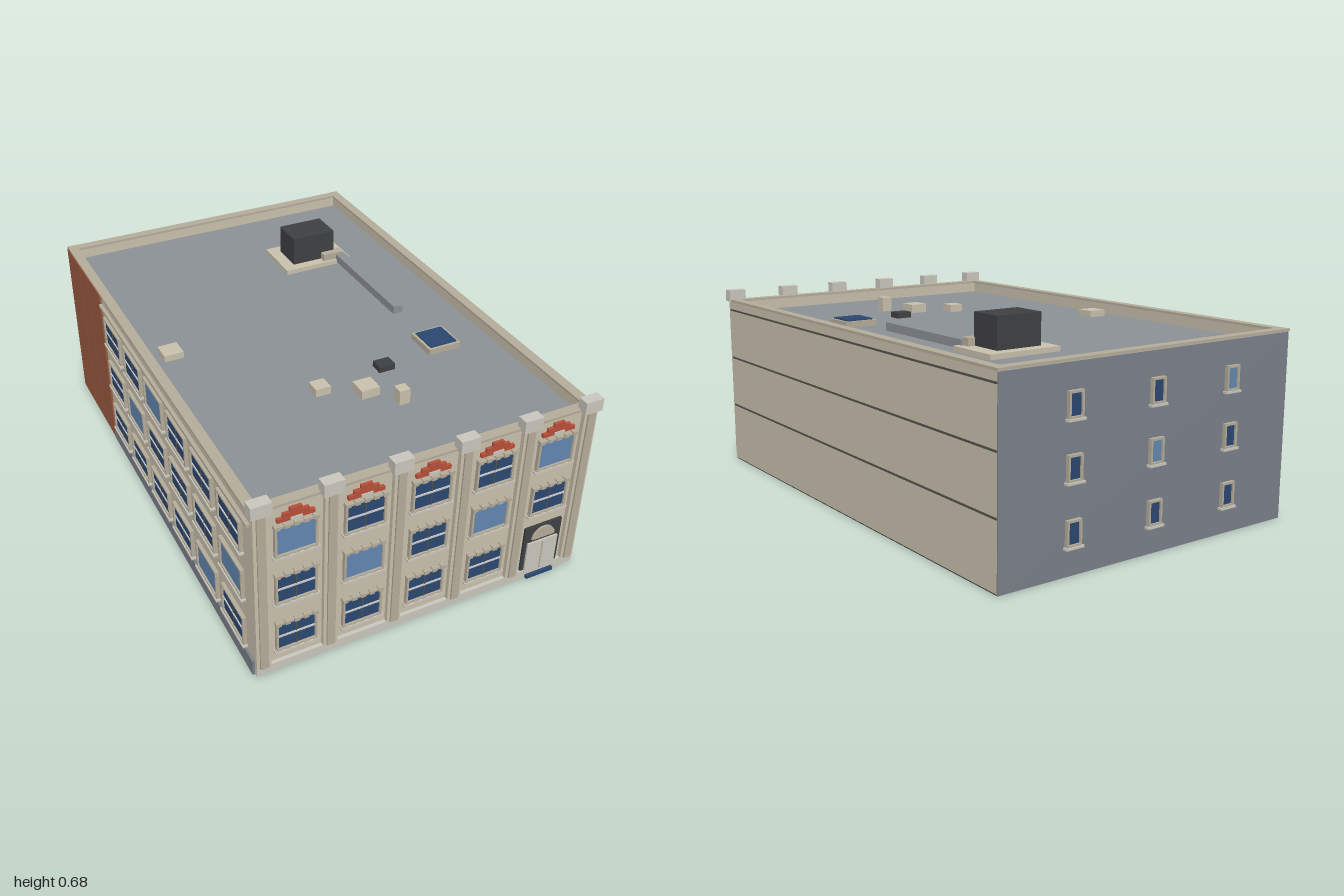
import * as THREE from 'three';

const W = 1.106, D = 1.656, H = 0.605, ROOF = 0.56;
const C = {
  wall: 0xc9c1ad, trim: 0xb5ad9b, stone: 0xcac7bd, brick: 0x9c5a40, red: 0xb8503a, grey: 0x7b818a,
  roof: 0x8c9196, dark: 0x3f4042, groove: 0x55524a, glass: 0x2b4770, lit: 0x6286b0, bar: 0xcfd0cc,
};
const mats = {};
const mat = (c) => (mats[c] ??= new THREE.MeshStandardMaterial({ color: c, flatShading: true }));

function box(parent, name, color, w, h, d, x, y, z) {
  const m = new THREE.Mesh(new THREE.BoxGeometry(w, h, d), mat(color));
  m.name = name;
  m.position.set(x, y, z);
  parent.add(m);
  return m;
}

// A wall face: local x runs along the wall, z points outward
function face(parent, name, angle, dist) {
  const g = new THREE.Group();
  g.name = name;
  g.rotation.y = angle;
  g.position.set(Math.sin(angle) * dist, 0, Math.cos(angle) * dist);
  parent.add(g);
  return g;
}

// Framed window with glass, a cross bar unless it is lit, and a sill
function addWindow(parent, x, y, w, h, lit, cross = true) {
  const g = new THREE.Group();
  g.name = 'window';
  g.position.set(x, y, 0);
  parent.add(g);
  box(g, 'glass', lit ? C.lit : C.glass, w, h, 0.006, 0, 0, 0.003);
  const t = 0.007;
  for (const s of [-1, 1]) {
    box(g, 'frameSide', C.trim, t, h + t, 0.012, s * w / 2, 0, 0.006);
    box(g, 'frameRail', C.trim, w + t, t, 0.012, 0, s * h / 2, 0.006);
  }
  if (!lit && cross) {
    box(g, 'crossBar', C.bar, w - t, 0.006, 0.003, 0, 0, 0.0075);
    box(g, 'mullion', C.groove, 0.003, h - t, 0.002, 0, 0, 0.007);
  }
  box(g, 'sill', C.stone, w + 0.018, 0.007, 0.016, 0, -h / 2 - 0.006, 0.008);
  return g;
}

const ROWS = [0.125, 0.308, 0.483];

function buildShell(b) {
  box(b, 'body', C.wall, W, ROOF - 0.002, D, 0, ROOF / 2 + 0.001, 0);
  box(b, 'base', C.dark, W, 0.003, D, 0, 0.0015, 0);
  box(b, 'roofDeck', C.roof, W - 0.04, 0.004, D - 0.04, 0, ROOF + 0.001, 0);
  // Parapet and coping on all four sides
  const t = 0.025, ph = H - ROOF;
  for (const s of [-1, 1]) {
    box(b, 'parapetSide', C.wall, t, ph, D, s * (W - t) / 2, ROOF + ph / 2, 0);
    box(b, 'parapetEnd', C.wall, W - 2 * t, ph, t, 0, ROOF + ph / 2, s * (D - t) / 2);
    box(b, 'copingSide', C.trim, t + 0.008, 0.008, D + 0.012, s * (W - t) / 2, H - 0.002, 0);
    box(b, 'copingEnd', C.trim, W - 2 * t, 0.008, t + 0.008, 0, H - 0.002, s * (D - t) / 2);
  }
}

function buildFacade(b) {
  const f = face(b, 'facade', 0, D / 2);
  const pitch = 0.212;
  box(f, 'plinth', C.stone, W, 0.03, 0.014, 0, 0.015, 0.005);
  // Pilasters with raised centre strips and caps above the parapet
  for (let i = 0; i < 6; i++) {
    const x = (i - 2.5) * pitch;
    box(f, 'pilaster', C.wall, 0.046, H - 0.03, 0.014, x, (H + 0.03) / 2, 0.007);
    box(f, 'pilasterStrip', C.trim, 0.026, H - 0.03, 0.008, x, (H + 0.03) / 2, 0.016);
    box(f, 'pilasterCap', C.stone, 0.062, 0.042, 0.036, x, 0.62, 0.006);
  }
  const litBays = ['0,2', '4,2', '1,1', '3,1'];
  for (let i = 0; i < 5; i++) {
    const x = (i - 2) * pitch;
    for (let r = i === 4 ? 1 : 0; r < 3; r++) {
      const win = addWindow(f, x, ROWS[r], 0.122, 0.1, litBays.includes(`${i},${r}`));
      // Toothed lintel and sill
      for (let k = -2; k <= 2; k++) {
        box(win, 'lintelTooth', C.trim, 0.016, 0.012, 0.016, k * 0.029, 0.052, 0.008);
        box(win, 'sillTooth', C.trim, 0.016, 0.01, 0.014, k * 0.029, -0.053, 0.007);
      }
    }
    // Stepped brick ornament over the top window
    [0.112, 0.078, 0.036].forEach((w, k) =>
      box(f, 'brickStep', C.red, w, 0.013, 0.01, x, 0.556 + k * 0.013, 0.005));
    box(f, 'ornamentStone', C.stone, 0.036, 0.013, 0.013, x, 0.553, 0.0065);
  }
  // Entrance with arched transom
  const dx = 2 * pitch;
  box(f, 'doorSurround', C.dark, 0.136, 0.2, 0.008, dx, 0.102, 0.004);
  box(f, 'door', C.stone, 0.112, 0.122, 0.014, dx, 0.08, 0.007);
  box(f, 'doorSplit', C.trim, 0.004, 0.11, 0.002, dx, 0.08, 0.0145);
  const arch = new THREE.Mesh(
    new THREE.CylinderGeometry(0.042, 0.042, 0.014, 20, 1, false, Math.PI / 2, Math.PI), mat(C.trim));
  arch.name = 'doorArch';
  arch.rotation.x = Math.PI / 2;
  arch.position.set(dx, 0.153, 0.007);
  f.add(arch);
  box(f, 'doorStep', C.glass, 0.1, 0.012, 0.02, dx, 0.006, 0.012);
}

function buildWindowSide(b) {
  const f = face(b, 'windowSide', -Math.PI / 2, W / 2);
  const brickEnd = -0.437;
  box(f, 'plinth', C.grey, D / 2 - brickEnd, 0.055, 0.008, (D / 2 + brickEnd) / 2, 0.0275, 0.004);
  box(f, 'cornice', C.trim, D / 2 - brickEnd, 0.01, 0.012, (D / 2 + brickEnd) / 2, 0.565, 0.006);
  // Brick panels at the rear end
  const edges = [-D / 2, -0.677, -0.578, brickEnd];
  for (let i = 0; i < 3; i++) {
    const w = edges[i + 1] - edges[i];
    box(f, 'brickPanel', C.brick, w - 0.003, H - 0.004, 0.008, edges[i] + w / 2, H / 2, 0.003);
  }
  const lit = ['2,2', '1,1', '5,1', '4,0'];
  for (let i = 0; i < 6; i++)
    for (let r = 0; r < 3; r++)
      addWindow(f, -0.321 + i * 0.203, ROWS[r], 0.155, 0.1, lit.includes(`${i},${r}`));
}

function buildPlainSides(b) {
  // Blank side with floor lines
  const s = face(b, 'blankSide', Math.PI / 2, W / 2);
  for (const y of [0.21, 0.39, 0.568]) box(s, 'floorLine', C.groove, D, 0.006, 0.003, 0, y, 0.001);
  // Rear wall with small windows
  const r = face(b, 'rearWall', Math.PI, D / 2);
  box(r, 'rearPanel', C.grey, W, H - 0.008, 0.006, 0, (H - 0.008) / 2, 0.001);
  const g = new THREE.Group();
  g.name = 'rearWindows';
  g.position.z = 0.004;
  r.add(g);
  for (let i = 0; i < 3; i++)
    for (let k = 0; k < 3; k++)
      addWindow(g, (i - 1) * 0.302, ROWS[k], 0.045, 0.07, (i === 1 && k === 1) || (i === 2 && k === 2), false);
}

function buildRoofItems(b) {
  const g = new THREE.Group();
  g.name = 'roofItems';
  g.position.y = ROOF + 0.003;
  b.add(g);
  // Place by plan position, converted to the turned frame of the building
  const put = (name, color, px, pz, w, h, d, y0 = 0) => {
    const p = new THREE.Vector3(px, 0, pz).sub(b.position).applyAxisAngle(new THREE.Vector3(0, 1, 0), -b.rotation.y);
    return box(g, name, color, w, h, d, p.x, y0 + h / 2, p.z);
  };
  put('coolerPad', C.wall, -0.156, -0.5, 0.254, 0.016, 0.187);
  put('coolerUnit', C.dark, -0.158, -0.495, 0.16, 0.101, 0.115, 0.016);
  put('ductElbow', C.trim, -0.063, -0.495, 0.075, 0.025, 0.03, 0.016);
  put('duct', C.roof, 0.116, -0.354, 0.034, 0.028, 0.43, 0.006);
  put('skylightFrame', C.trim, 0.43, -0.066, 0.115, 0.02, 0.115);
  put('skylightGlass', C.glass, 0.43, -0.066, 0.096, 0.006, 0.096, 0.018);
  put('darkVent', C.dark, 0.31, 0.13, 0.055, 0.02, 0.045);
  const vents = [[-0.355, 0.28, 0.065, 0.022], [0.16, 0.32, 0.05, 0.026], [0.295, 0.28, 0.062, 0.03], [0.41, 0.29, 0.036, 0.05]];
  for (const [x, z, s, h] of vents) put('vent', C.wall, x, z, s, h, s);
}

export function createModel() {
  const model = new THREE.Group();
  model.name = 'model';
  const b = new THREE.Group();
  b.name = 'building';
  b.rotation.y = 0.782;
  b.position.set(-0.01, 0, -0.0125);
  model.add(b);
  buildShell(b);
  buildFacade(b);
  buildWindowSide(b);
  buildPlainSides(b);
  buildRoofItems(b);
  return model;
}
